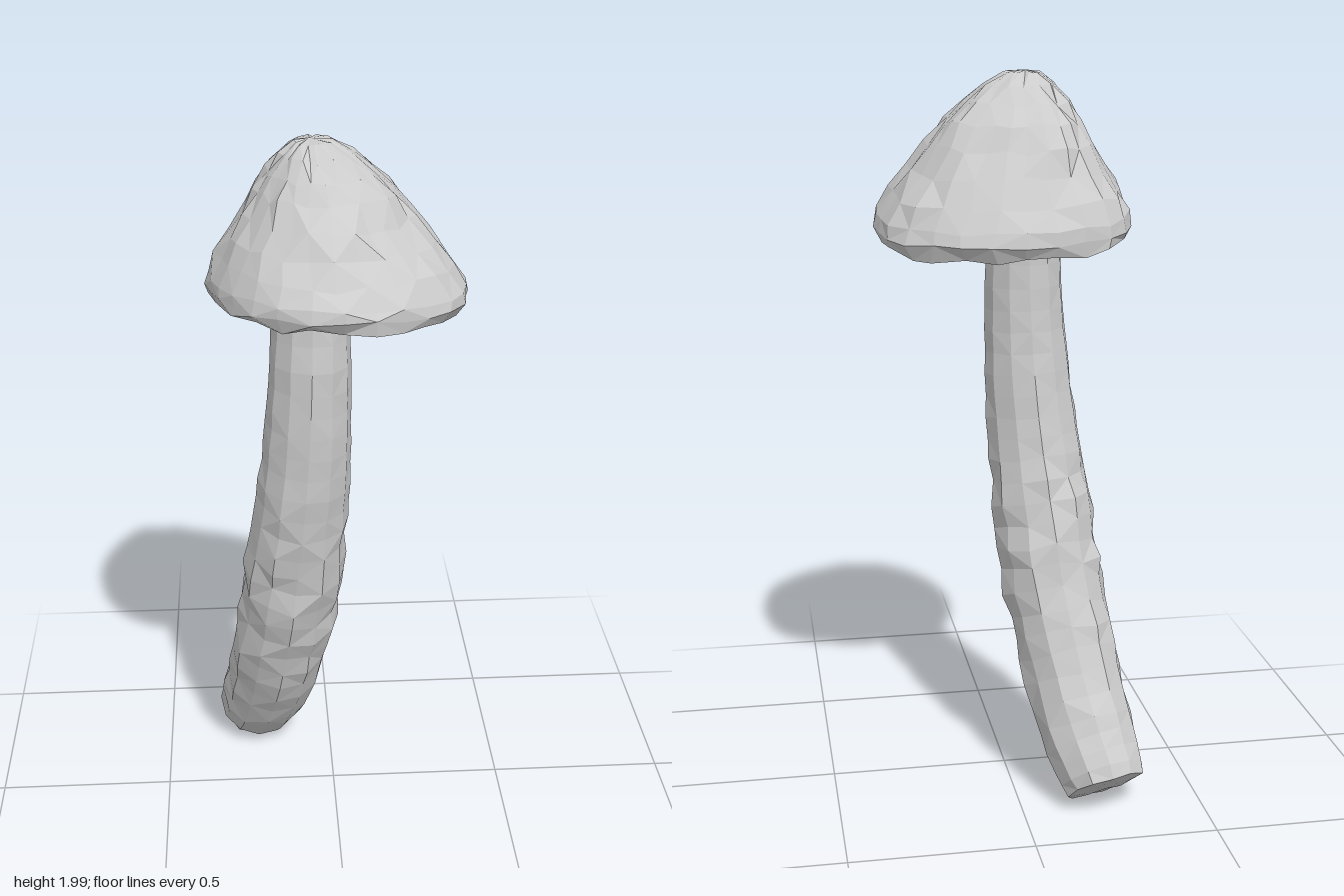
import * as THREE from 'three';

const V = (x, y, z) => new THREE.Vector3(x, y, z);

// Small seeded noise in -1..1
function makeNoise(seed) {
  let s = seed;
  return () => {
    s = (s * 16807) % 2147483647;
    return (s / 2147483647) * 2 - 1;
  };
}

// Skin over closed rings, listed from top to bottom
function loft(rings) {
  const n = rings[0].length;
  const index = [];
  for (let k = 0; k < rings.length - 1; k++) {
    for (let i = 0; i < n; i++) {
      const j = (i + 1) % n;
      const a = k * n + i, b = k * n + j, c = a + n, d = b + n;
      // Alternate the diagonals for an irregular faceted skin
      if ((i + k) % 2) index.push(c, d, b, c, b, a);
      else index.push(c, d, a, d, b, a);
    }
  }
  const geometry = new THREE.BufferGeometry().setFromPoints(rings.flat());
  geometry.setIndex(index);
  geometry.computeVertexNormals();
  return geometry;
}

// Cap: an irregular rim outline scaled up a domed profile, then turned under
function capGeometry() {
  const noise = makeNoise(71);
  const sides = 28;
  const outline = new THREE.CatmullRomCurve3([
    [0, 0.41], [0.15, 0.36], [0.22, 0.31], [0.3, 0.24], [0.335, 0.13], [0.345, -0.03],
    [0.31, -0.17], [0.21, -0.26], [0.1, -0.305], [-0.1, -0.315], [-0.19, -0.29], [-0.26, -0.25],
    [-0.31, -0.16], [-0.332, -0.03], [-0.325, 0.08], [-0.28, 0.23], [-0.2, 0.34], [-0.1, 0.395],
  ].map(([x, z]) => V(x, 0, z)), true).getSpacedPoints(sides).slice(0, sides);
  const apex = V(-0.06, 2, 0.025);
  // [share of rim radius, share of height, roughness]
  const profile = [
    [0, 1, 0], [0.14, 0.985, 0.003], [0.28, 0.91, 0.006], [0.41, 0.8, 0.008], [0.53, 0.68, 0.009],
    [0.65, 0.53, 0.01], [0.77, 0.38, 0.01], [0.89, 0.23, 0.009], [0.98, 0.1, 0.007], [1, 0.02, 0.006],
    [0.965, -0.06, 0.012], [0.86, -0.045, 0.006], [0.6, -0.02, 0.003], [0.3, 0, 0], [0, 0, 0],
  ];
  return loft(profile.map(([f, h, rough]) => outline.map((p) => {
    const x = THREE.MathUtils.lerp(apex.x, 0, f) + p.x * f;
    const z = THREE.MathUtils.lerp(apex.z, 0.04, f) + (p.z - 0.04) * f;
    const rim = 1.605 + 0.1 * (z - 0.04) - 0.04 * x; // tilted rim plane
    return V(x + noise() * rough, THREE.MathUtils.lerp(rim, apex.y, h) + noise() * rough, z + noise() * rough);
  })));
}

// Stem: rings square to a bent centre line, lumpier around the middle
function stemGeometry() {
  const noise = makeNoise(29);
  const sides = 12, steps = 26;
  const path = new THREE.CatmullRomCurve3([
    V(-0.06, 1.63, 0.06), V(-0.065, 1.4, 0.068), V(-0.073, 1.2, 0.06), V(-0.088, 1, 0.04),
    V(-0.108, 0.8, 0), V(-0.13, 0.6, -0.05), V(-0.16, 0.4, -0.12), V(-0.198, 0.2, -0.225), V(-0.23, 0.075, -0.32),
  ]);
  const radii = [0.098, 0.11, 0.118, 0.128, 0.139, 0.144, 0.14, 0.132, 0.117];
  const radiusAt = (t) => {
    const s = t * (radii.length - 1), i = Math.min(Math.floor(s), radii.length - 2);
    return THREE.MathUtils.lerp(radii[i], radii[i + 1], s - i);
  };
  const ring = (t, scale, rough, drop = 0) => {
    const down = path.getTangent(t);
    const up = down.clone().negate();
    const u = V(1, 0, 0).addScaledVector(up, -up.x).normalize();
    const w = u.clone().cross(up);
    const centre = path.getPoint(t).addScaledVector(down, drop);
    return Array.from({ length: sides }, (_, i) => {
      const a = (i / sides) * Math.PI * 2;
      const r = radiusAt(t) * scale + noise() * rough;
      return centre.clone().addScaledVector(u, Math.sin(a) * r).addScaledVector(w, Math.cos(a) * r)
        .addScaledVector(up, noise() * rough);
    });
  };
  const rings = [ring(0, 0, 0)];
  for (let k = 0; k <= steps; k++) {
    const t = (k / steps) * 0.975;
    rings.push(ring(t, 1, 0.002 + 0.008 * Math.exp(-(((t - 0.6) / 0.22) ** 2))));
  }
  // Bevelled foot and closed end
  rings.push(ring(1, 0.93, 0.005), ring(1, 0.5, 0.003, 0.008), ring(1, 0, 0, 0.01));
  return loft(rings);
}

export function createModel() {
  const group = new THREE.Group();
  group.name = 'mushroom';
  const material = new THREE.MeshStandardMaterial({ color: 0xcccccc, flatShading: true });
  const add = (name, geometry) => {
    const mesh = new THREE.Mesh(geometry, material);
    mesh.name = name;
    group.add(mesh);
  };
  add('cap', capGeometry());
  add('stem', stemGeometry());
  return group;
}
